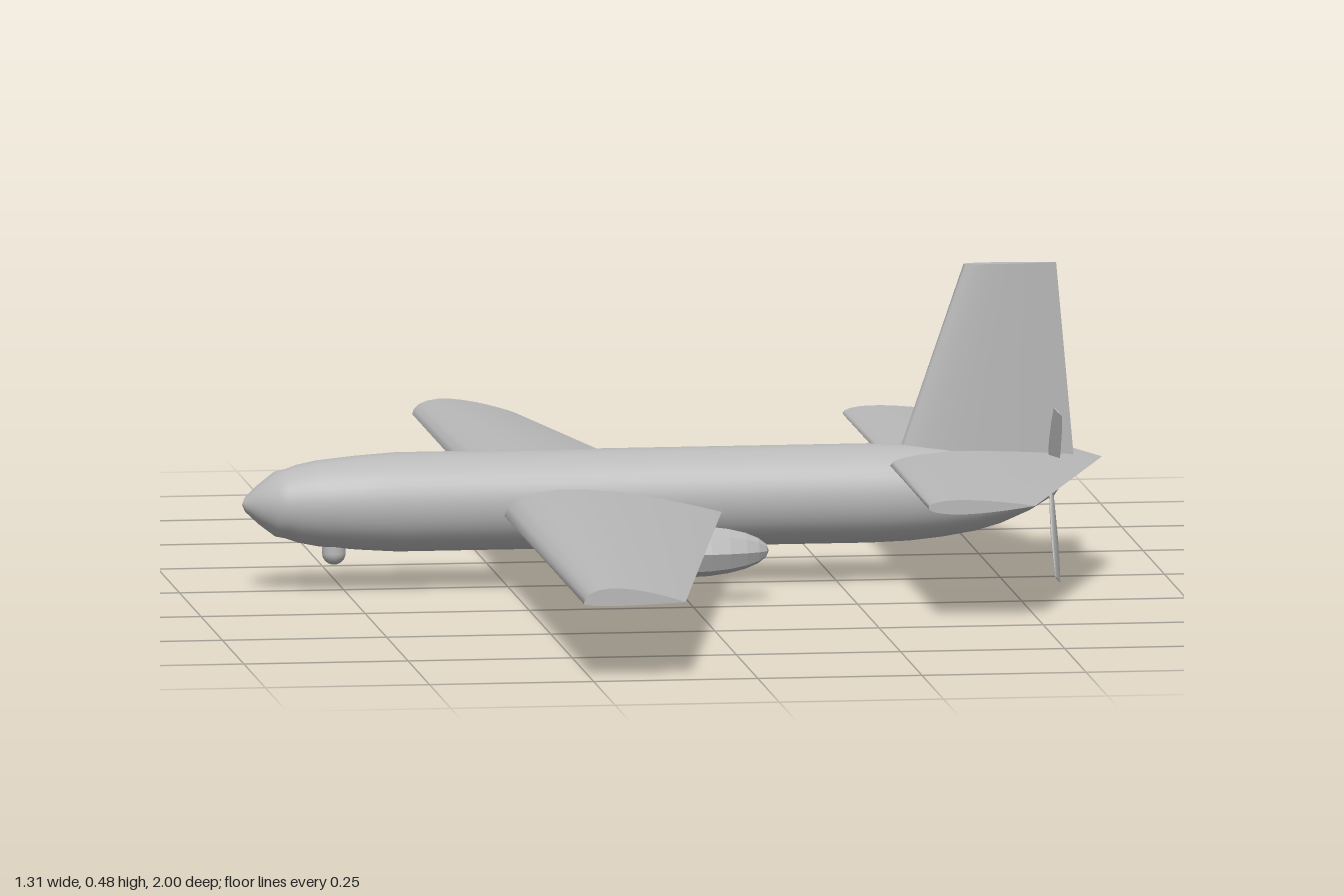
import * as THREE from 'three';

// Closed airfoil outline from trailing edge over the top to the nose and back below;
// up and low are the greatest heights above and below the chord.
function foil(chord, up, low, n = 12) {
  const pts = [];
  for (let i = -n; i <= n; i++) {
    const t = (1 - Math.cos((Math.PI * Math.abs(i)) / n)) / 2;
    const h = (0.2969 * Math.sqrt(t) - 0.126 * t - 0.3516 * t * t + 0.2843 * t ** 3 - 0.1036 * t ** 4) * 10;
    pts.push([t * chord, h * (i < 0 ? up : -low)]);
  }
  return pts;
}

// Skin through equal-length rings of [x, y, z], with flat end caps.
function loft(rings) {
  const pos = [], idx = [], m = rings[0].length;
  rings.forEach(r => r.forEach(p => pos.push(...p)));
  for (let s = 0; s < rings.length - 1; s++) {
    for (let i = 0; i < m - 1; i++) {
      const a = s * m + i, b = a + m;
      idx.push(a, b, a + 1, a + 1, b, b + 1);
    }
  }
  [rings[0], rings[rings.length - 1]].forEach((r, end) => {
    const base = pos.length / 3;
    r.forEach(p => pos.push(...p));
    for (let i = 0; i < (m - 1) / 2; i++) {
      const a = base + i, b = base + i + 1, c = base + m - 2 - i, d = base + m - 1 - i;
      if (end) idx.push(a, d, b, b, d, c);
      else idx.push(a, b, d, b, c, d);
    }
  });
  // Turn the faces outward when the enclosed volume is negative
  let vol = 0;
  const v = i => new THREE.Vector3().fromArray(pos, i * 3);
  for (let i = 0; i < idx.length; i += 3) vol += v(idx[i]).dot(v(idx[i + 1]).cross(v(idx[i + 2])));
  if (vol < 0) idx.reverse();
  const g = new THREE.BufferGeometry();
  g.setAttribute('position', new THREE.Float32BufferAttribute(pos, 3));
  g.setIndex(idx);
  g.computeVertexNormals();
  return g;
}

// Body of revolution along x from [x, radius] points
function spun(points, sides) {
  const g = new THREE.LatheGeometry(points.map(([x, r]) => new THREE.Vector2(r, x)), sides);
  return g.rotateZ(-Math.PI / 2);
}

export function createModel() {
  const model = new THREE.Group();
  model.name = 'airplane';
  const grey = new THREE.MeshStandardMaterial({ color: 0xb9b9b9 });
  grey.name = 'light grey';
  const add = (name, geometry, x = 0, y = 0, z = 0, parent = model) => {
    const mesh = new THREE.Mesh(geometry, grey);
    mesh.name = name;
    mesh.position.set(x, y, z);
    parent.add(mesh);
    return mesh;
  };

  // Fuselage with blunt nose and tapering tail
  add('fuselage', spun([
    [-0.655, 0], [-0.65, 0.011], [-0.63, 0.03], [-0.605, 0.049], [-0.59, 0.052], [-0.57, 0.059], [-0.54, 0.065],
    [-0.48, 0.071], [-0.42, 0.075], [-0.2, 0.075], [0.05, 0.075], [0.3, 0.075], [0.36, 0.073],
    [0.41, 0.068], [0.46, 0.06], [0.5, 0.049], [0.545, 0.03], [0.575, 0.012], [0.58, 0],
  ], 40), 0, 0.134, 0);

  // Straight-edged main wing and tailplane: [z, leading x, chord, upper, lower]
  const span = (sections, y) => loft(sections.map(([z, x, chord, up, low]) =>
    foil(chord, up, low).map(([a, b]) => [x + a, y + b, z])));
  const wingTip = [-0.265, 0.155, 0.023, 0.004];
  add('wing', span([[-1, ...wingTip], [0, -0.265, 0.345, 0.04, 0.01], [1, ...wingTip]], 0.12));
  const tailTip = [0.325, 0.163, 0.011, 0.011];
  add('tailplane', span([[-0.5, ...tailTip], [0, 0.325, 0.33, 0.015, 0.015], [0.5, ...tailTip]], 0.183));

  // Upright fin: [y, leading x, chord, half thickness]
  add('fin', loft([[0.16, 0.333, 0.281, 0.016], [0.481, 0.444, 0.141, 0.01]].map(([y, x, chord, t]) =>
    foil(chord, t, t).map(([a, b]) => [x + a, y, b]))));

  // Eight-sided pods below the wing
  const podProfile = [];
  for (let i = 0; i <= 12; i++) {
    const a = (Math.PI * i) / 12;
    podProfile.push([-0.123 * Math.cos(a), i % 12 ? 0.039 * Math.sin(a) : 0]);
  }
  for (const side of [1, -1]) {
    const pod = spun(podProfile, 8).toNonIndexed();
    pod.computeVertexNormals();
    add(side > 0 ? 'leftPod' : 'rightPod', pod, -0.002, 0.079, side * 0.202);
  }

  // Sensor turret under the nose
  add('turretMount', new THREE.CylinderGeometry(0.018, 0.018, 0.03, 20), -0.515, 0.073, 0);
  add('turretBall', new THREE.SphereGeometry(0.018, 20, 12), -0.515, 0.058, 0);

  // Three-bladed pusher propeller with pitched blades
  const propeller = new THREE.Group();
  propeller.name = 'propeller';
  propeller.position.set(0.578, 0.135, 0);
  model.add(propeller);
  add('spinner', spun([[-0.014, 0], [-0.012, 0.014], [0.002, 0.012], [0.011, 0]], 16), 0, 0, 0, propeller);
  const bladeShape = [[0, 0.012, 0.003], [0.04, 0.024, 0.003], [0.08, 0.03, 0.003], [0.12, 0.028, 0.002], [0.148, 0.022, 0.001]];
  for (let i = 0; i < 3; i++) {
    const blade = add('blade', loft(bladeShape.map(([r, w, t]) =>
      foil(w, t, t, 6).map(([a, b]) => [b + (a - w / 2) * 0.45, r, a - w / 2]))), 0, 0, 0, propeller);
    blade.rotation.x = Math.PI / 6 + (i * Math.PI * 2) / 3;
  }
  return model;
}
